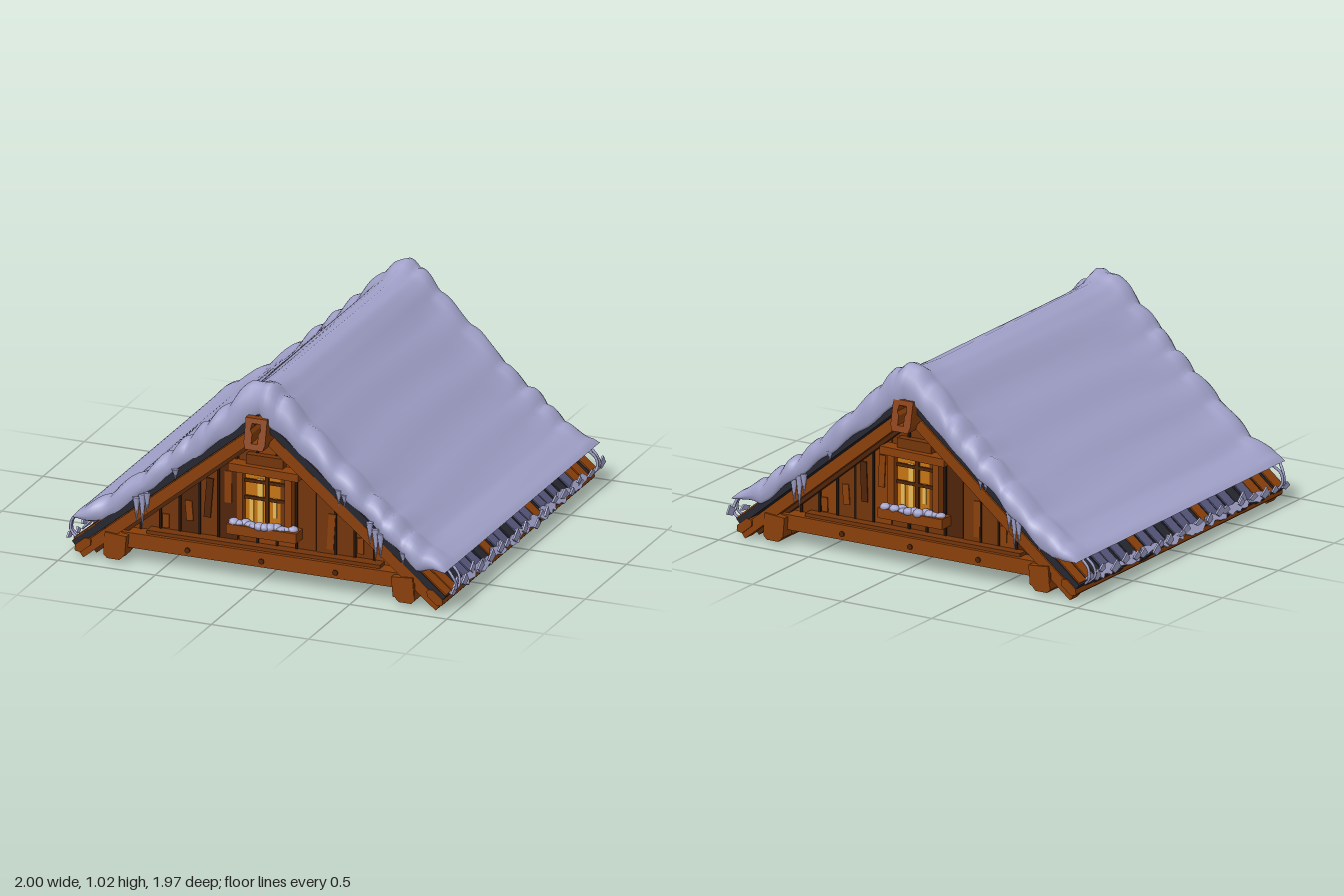
import * as THREE from 'three';

const mat = (name, color) => Object.assign(new THREE.MeshStandardMaterial({ color }), { name });
const SLOPE = 0.82, ANGLE = Math.atan(SLOPE);

// small seeded random
let seed = 7;
const rnd = () => (seed = (seed * 16807) % 2147483647) / 2147483647;
const jit = (a) => (rnd() - 0.5) * 2 * a;

export function createModel() {
  seed = 7;
  const M = {
    snow: mat('snow', 0xa3a3cc),
    wood: mat('wood', 0x8a3f09),
    woodMid: mat('mid wood', 0x733409),
    woodDark: mat('dark wood', 0x4f2408),
    seam: mat('seam', 0x241206),
    deck: mat('roof deck', 0x262630),
    slate: mat('frosted deck', 0x55557a),
    amber: mat('amber glass', 0xc47412),
    bright: mat('lit glass', 0xf2c25a),
  };
  const root = new THREE.Group();
  root.name = 'snowyRoof';

  const add = (parent, name, geo, m, x = 0, y = 0, z = 0, rz = 0) => {
    const mesh = new THREE.Mesh(geo, m);
    mesh.name = name;
    mesh.position.set(x, y, z);
    mesh.rotation.z = rz;
    parent.add(mesh);
    return mesh;
  };
  const box = (parent, name, m, w, h, d, x, y, z, rz = 0) =>
    add(parent, name, new THREE.BoxGeometry(w, h, d), m, x, y, z, rz);
  const polygon = (pts) => new THREE.Shape(pts.map(([x, y]) => new THREE.Vector2(x, y)));
  const extrude = (shape, depth) => new THREE.ExtrudeGeometry(shape, { depth, bevelEnabled: false });

  // timber with chamfered long edges, running along z
  const beamZ = (parent, name, m, w, h, len, x, y, z) => {
    const a = w / 2, b = h / 2, c = 0.018;
    const s = polygon([[-a + c, -b], [a - c, -b], [a, -b + c], [a, b - c], [a - c, b], [-a + c, b], [-a, b - c], [-a, -b + c]]);
    return add(parent, name, extrude(s, len), m, x, y, z - len / 2);
  };

  // ---- snow blanket: one z-y loop per column, swept across x ----
  const TOP = [[0, 0.985], [0.06, 0.965], [0.12, 0.915], [0.2, 0.825], [0.4, 0.637], [0.6, 0.452],
    [0.8, 0.295], [0.9, 0.238], [0.94, 0.215], [0.96, 0.192]];
  const topAt = (x) => {
    let k = 1;
    while (k < TOP.length - 1 && TOP[k][0] < x) k++;
    const [x0, y0] = TOP[k - 1], [x1, y1] = TOP[k];
    return y0 + ((y1 - y0) * (x - x0)) / (x1 - x0);
  };
  // each entry: z, height share, roll weight, sag below the deck line
  const half = [[0.84, 0, 0, 0], [0.918, 0, 0, 0.016], [0.932, 0.08, 0, 0.01], [0.938, 0.4, 0.4, 0], [0.93, 0.75, 0.9, 0],
    [0.9, 0.98, 1, 0], [0.86, 1.06, 1, 0], [0.815, 0.97, 0.7, 0], [0.77, 0.87, 0.2, 0], [0.6, 0.83, 0, 0], [0.25, 0.83, 0, 0]];
  const loop = [...half, ...half.slice().reverse().map(([z, ...rest]) => [-z, ...rest])];
  const END = 0.96, COLS = 140, N = loop.length, pos = [], idx = [];
  for (let i = 0; i <= COLS; i++) {
    const x = -END + (2 * END * i) / COLS, ax = Math.abs(x);
    const b = Math.max(0.855 - SLOPE * ax, 0.188), t = topAt(ax);
    const fade = Math.min(1, (END - ax) / 0.2);
    for (const [z, h, r, sag] of loop) {
      const ph = z > 0 ? 0 : 1.3;
      const lobe = fade * r * (0.026 * Math.abs(Math.sin(ax * 25 + ph + Math.sin(x * 9))) - 0.007);
      const edge = Math.abs(z) > 0.85 ? Math.sign(z) * (0.007 * Math.sin(x * 19 + ph) + 0.006 * Math.sin(x * 41)) : 0;
      const ripple = fade * h * (1 - r) * 0.005 * Math.sin(x * 31 + Math.sin(z * 3 + x * 4));
      const droop = fade * sag * (0.7 + 0.5 * Math.sin(x * 33 + ph));
      pos.push(x, b + (t - b) * h + lobe + ripple - droop, z + edge - 0.008);
    }
  }
  for (let i = 0; i < COLS; i++) {
    for (let j = 0; j < N; j++) {
      const k = (j + 1) % N, a = i * N, c = a + N;
      idx.push(a + j, c + j, c + k, a + j, c + k, a + k);
    }
  }
  const snowGeo = new THREE.BufferGeometry();
  snowGeo.setAttribute('position', new THREE.Float32BufferAttribute(pos, 3));
  snowGeo.setIndex(idx);
  snowGeo.computeVertexNormals();
  add(root, 'snowBlanket', snowGeo, M.snow);

  // ---- roof side, built on +x and turned for the other slope ----
  const buildSide = (name) => {
    const g = new THREE.Group();
    g.name = name;
    // deck planks running down the slope, with bare or frosted eave ends
    const n = 23, w = 1.84 / n;
    for (let i = 0; i < n; i++) {
      const z = -0.92 + w * (i + 0.5), len = 1.22 + jit(0.015), lift = jit(0.01);
      box(g, 'deckPlank', M.deck, len, 0.036, w - 0.004, 0.475, 0.44 + lift, z, -ANGLE);
      const bare = i < 3 || i > n - 3 || i % 7 === 1;
      const cap = bare ? M.wood : i % 4 === 0 ? M.deck : M.slate;
      box(g, 'plankEnd', cap, 0.24, 0.008, w - 0.016, 0.863, 0.148 + lift, z, -ANGLE);
    }
    // eave batten and wall plate
    const batten = beamZ(g, 'eaveBatten', M.wood, 0.1, 0.045, 1.85, 0.905, 0.056, 0);
    batten.rotation.z = -ANGLE;
    beamZ(g, 'wallPlate', M.wood, 0.1, 0.12, 1.84, 0.75, 0.066, 0);
    // ragged sheets of frost along the plank ends
    for (let s = 0; s < 8; s++) {
      const z0 = -0.77 + s * 0.195, upper = [], lower = [];
      for (let i = 0; i <= 8; i++) {
        const z = z0 + i * 0.023, body = i % 8 ? 1 : 0.25;
        upper.push([z, 0.004 + body * (0.008 + rnd() * 0.024)]);
        lower.push([z, -body * (0.008 + rnd() * 0.022)]);
      }
      const frost = add(g, 'eaveFrost', extrude(polygon([...lower, ...upper.reverse()]), 0.008), M.snow, 0.962 + jit(0.006), 0.078, 0);
      frost.rotation.set(0, Math.PI / 2, 0);
      frost.rotateX(-0.6);
    }
    // thin torn slivers standing past the eave
    for (let i = 0; i < 22; i++) {
      const z = -0.88 + (1.76 * i) / 21 + jit(0.03), l = 0.025 + rnd() * 0.02, h = 0.02 + rnd() * 0.02;
      const sliver = extrude(polygon([[-l, 0], [-l * 0.2, -h * 0.6], [l, -h * 0.1], [l * 0.3, h]]), 0.009);
      add(g, 'snowSliver', sliver.rotateY(Math.PI / 2), M.snow, 0.974 + jit(0.014), 0.09 + jit(0.02), z);
    }
    for (const z of [-0.88, -0.84, 0.83, 0.87]) {
      const curl = new THREE.CatmullRomCurve3([[0.945, 0.2], [0.985, 0.15], [0.99, 0.1], [0.955, 0.065]]
        .map(([x, y]) => new THREE.Vector3(x, y, z + jit(0.015))));
      add(g, 'snowCurl', new THREE.TubeGeometry(curl, 10, 0.007, 6), M.snow);
    }
    return g;
  };
  const left = buildSide('leftRoofSide'), right = buildSide('rightRoofSide');
  right.rotation.y = Math.PI;
  root.add(left, right);

  // ---- gable end, built at +z and turned for the back ----
  const buildGable = (name) => {
    const g = new THREE.Group();
    g.name = name;
    const tones = [M.wood, M.woodMid, M.woodMid, M.woodDark];
    // upright wall boards cut to the roof line
    const n = 15, w = 1.5 / n;
    const roofY = (x) => Math.min(0.69, 0.79 - SLOPE * Math.abs(x));
    for (let i = 0; i < n; i++) {
      const x0 = -0.75 + w * i + 0.003, x1 = x0 + w - 0.006;
      const shape = polygon([[x0, 0.09], [x1, 0.09], [x1, roofY(x1)], [x0, roofY(x0)]]);
      add(g, 'wallBoard', extrude(shape, 0.03), tones[Math.floor(rnd() * 4)], 0, 0, 0.785 + jit(0.005));
      const open = i === 6 || i === 10;
      if (i && !open) {
        const h = roofY(x0) - 0.1;
        if (h > 0.02) box(g, 'boardSeam', M.seam, 0.013, h, 0.008, x0 - 0.003, 0.1 + h / 2, 0.818);
      }
    }
    // patches of lighter and darker grain
    for (const [x, y, h, m] of [[-0.4, 0.27, 0.1, M.wood], [-0.2, 0.42, 0.16, M.wood], [0.33, 0.27, 0.18, M.wood],
      [0.48, 0.22, 0.08, M.wood], [-0.52, 0.2, 0.07, M.wood], [-0.3, 0.35, 0.2, M.woodDark]])
      box(g, 'grainPatch', m, 0.035, h, 0.006, x, y, 0.822, jit(0.08));

    // tie beam with pegs and bearing blocks
    box(g, 'tieBeam', M.wood, 1.44, 0.075, 0.1, 0, 0.102, 0.84);
    box(g, 'tieBeamTop', M.woodMid, 1.2, 0.02, 0.07, 0, 0.147, 0.835);
    for (const x of [-0.38, 0, 0.38])
      add(g, 'peg', new THREE.CylinderGeometry(0.014, 0.014, 0.008, 8).rotateX(Math.PI / 2), M.woodDark, x, 0.095, 0.893);
    for (const s of [-1, 1]) {
      box(g, 'bearingBlock', M.wood, 0.11, 0.1, 0.08, s * 0.74, 0.085, 0.885, s * 0.08);
      // rafter and dark board behind its lower edge
      box(g, 'rafter', M.wood, 1.12, 0.055, 0.07, s * 0.49, 0.366, 0.88, -s * ANGLE);
      box(g, 'rafterShadowBoard', M.woodDark, 1.02, 0.03, 0.05, s * 0.475, 0.337, 0.84, -s * ANGLE);
    }

    // hollow ridge beam end, leaning outward at the foot
    const frame = polygon([[-0.045, 0.69], [0.045, 0.69], [0.055, 0.72], [0.055, 0.84], [-0.055, 0.84], [-0.055, 0.72]]);
    frame.holes.push(new THREE.Path([[-0.016, 0.72], [-0.016, 0.765], [-0.026, 0.785], [-0.02, 0.815],
      [0.02, 0.815], [0.026, 0.785], [0.016, 0.765], [0.016, 0.72]].map(([x, y]) => new THREE.Vector2(x, y))));
    const ridge = extrude(frame, 0.2), p = ridge.attributes.position;
    for (let i = 0; i < p.count; i++) if (p.getZ(i) > 0.1) p.setZ(i, 0.2 - (p.getY(i) - 0.69) * 0.22);
    ridge.computeVertexNormals();
    add(g, 'ridgeBeamEnd', ridge, M.wood, 0, 0, 0.785);

    // window, with lit panes showing on the inside as well
    const win = new THREE.Group();
    win.name = 'window';
    g.add(win);
    box(win, 'glass', M.amber, 0.23, 0.28, 0.055, 0, 0.39, 0.803);
    for (const s of [-1, 1]) {
      box(win, 'innerShutter', M.woodMid, 0.075, 0.3, 0.009, s * 0.08, 0.39, 0.774);
      box(win, 'windowPost', M.wood, 0.035, 0.3, 0.07, s * 0.125, 0.39, 0.83);
    }
    for (const [x, y, pw, ph] of [[-0.03, 0.38, 0.028, 0.22], [-0.075, 0.33, 0.022, 0.12], [0.045, 0.35, 0.02, 0.1]])
      box(win, 'candleGlow', M.bright, pw, ph, 0.006, x, y, 0.832);
    box(win, 'curtain', M.woodMid, 0.035, 0.26, 0.006, 0.092, 0.39, 0.833);
    box(win, 'uprightBar', M.woodDark, 0.018, 0.27, 0.045, 0.008, 0.39, 0.822);
    for (const y of [0.39, 0.475]) box(win, 'crossBar', M.woodDark, 0.22, 0.016, 0.04, 0, y, 0.822);
    box(win, 'windowHeader', M.wood, 0.36, 0.04, 0.09, 0.005, 0.543, 0.84, -0.02);
    box(win, 'headerBoard', M.woodMid, 0.19, 0.05, 0.05, 0, 0.588, 0.83);
    box(win, 'windowSill', M.wood, 0.36, 0.05, 0.1, 0, 0.236, 0.845);
    for (let i = 0; i < 12; i++) {
      const lump = add(win, 'sillSnow', new THREE.SphereGeometry(0.026, 8, 6), M.snow, -0.15 + i * 0.027, 0.265, 0.868 + jit(0.014));
      lump.scale.set(1.1, 0.45 + rnd() * 0.5, 1);
    }

    // icicles under the snow edge
    for (const [x, y, l] of [[-0.63, 0.33, 0.13], [-0.6, 0.35, 0.18], [-0.575, 0.36, 0.11], [-0.43, 0.5, 0.05],
      [0.41, 0.52, 0.08], [0.44, 0.5, 0.06], [0.57, 0.38, 0.12], [0.6, 0.35, 0.17], [0.625, 0.33, 0.13], [0.74, 0.25, 0.06]])
      add(g, 'icicle', new THREE.ConeGeometry(0.019, l, 7).rotateX(Math.PI), M.snow, x, y - l / 2 + 0.01, 0.92);
    return g;
  };
  const front = buildGable('frontGable'), back = buildGable('backGable');
  back.rotation.y = Math.PI;
  root.add(front, back);
  return root;
}
